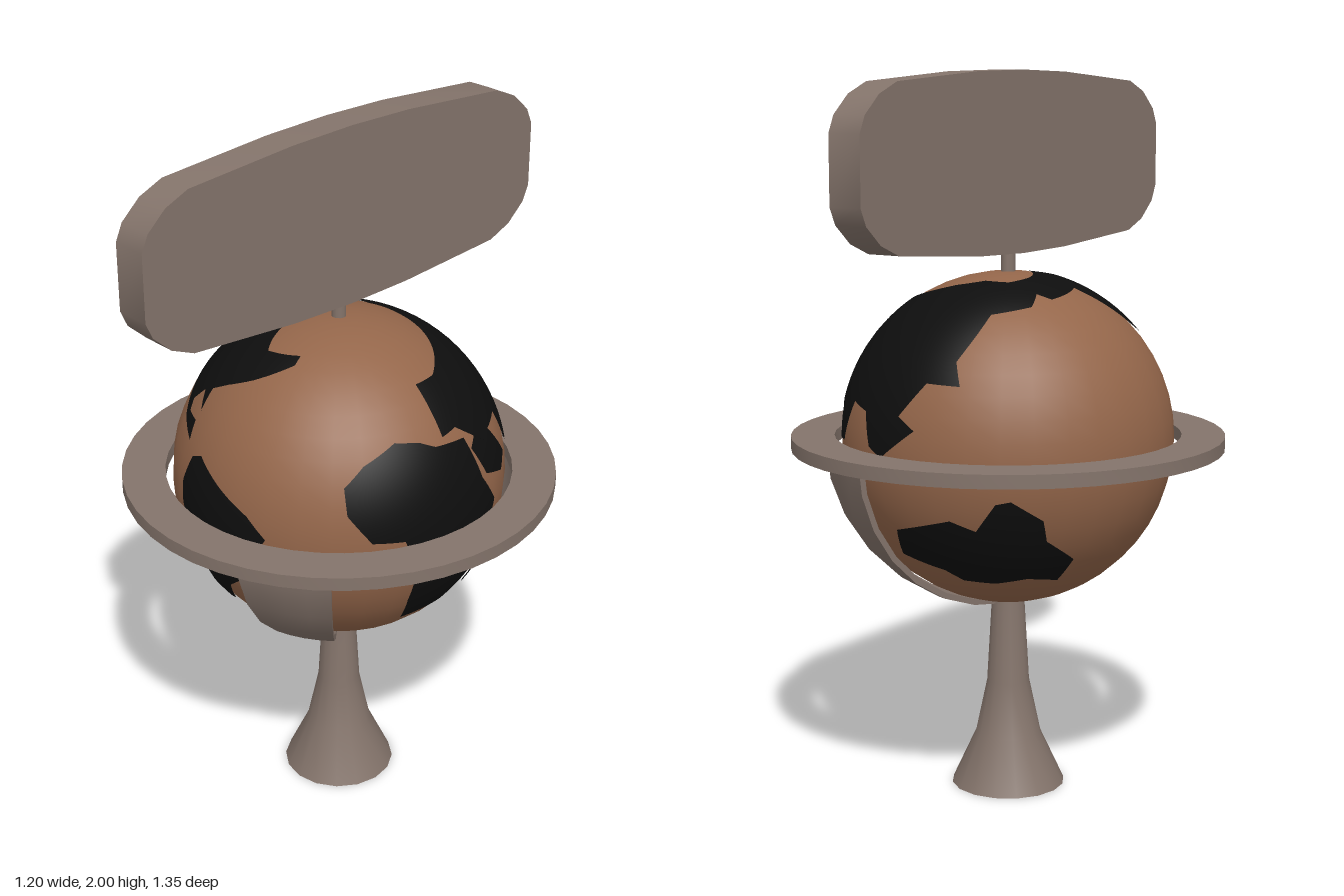
import * as THREE from 'three';
import { toCreasedNormals } from 'three/addons/utils/BufferGeometryUtils.js';

const RAD = Math.PI / 180;
const CENTRE = 1, RADIUS = 0.46;

// Point on a sphere; longitude 0 faces the front and grows towards +x
function onSphere(lon, lat, r, squash = 1) {
  const c = Math.cos(lat * RAD);
  return new THREE.Vector3(
    r * c * Math.sin(lon * RAD), r * Math.sin(lat * RAD) * squash, r * c * Math.cos(lon * RAD));
}

// Coastlines as [longitude, latitude] in degrees
const LANDS = {
  northAmerica: [
    [-114, 60], [-143, 72], [-113, 76], [-70, 83], [-31, 71], [-11, 62], [17, 65], [17, 61],
    [-2, 51], [-15, 45], [-23, 40.5], [-21, 32.4], [-28, 38], [-32.7, 32], [-29.6, 28.6],
    [-21.4, 28.6], [-19.4, 22], [-32.3, 26.4], [-42.5, 32.4], [-62, 43], [-79.5, 65]],
  southAmerica: [
    [-14, 18.6], [-9, 20.7], [3.4, 14.5], [16, 8.5], [23, 2], [17, -8], [13.8, -16.5], [3.6, -25],
    [0, -35], [-7.6, -39], [-9.4, -46], [-15.6, -44], [-14.5, -35], [-10.6, -29], [-9, -16.5],
    [-12.7, -10], [-17, 2], [-17.4, 8.5]],
  africa: [
    [50, 13], [49, 22], [56, 28.6], [69, 34.7], [79, 33], [85.5, 30], [100, 28.6], [104, 13],
    [111, 2], [107, -6], [103, -13], [102, -25], [93, -35], [74, -38], [73, -25], [74, -10],
    [69, 2], [58, 3]],
  madagascar: [[109, -19], [111, -23.5], [107, -34], [103, -29]],
  eurasia: [
    [90, 51], [104, 51], [131, 58.6], [163, 68], [190, 73], [217, 72], [240, 66], [230, 56.6],
    [207, 53], [202, 44], [196, 34], [199, 25.6], [186, 26], [177, 14.4], [184, 10.3], [170, 0],
    [164, 3], [160, 14], [150, 16], [144, 2], [139, 2], [136, 12], [131, 14.5], [128.6, 26],
    [117, 25], [125, 13], [119, 8.5], [107, 13], [102, 24], [106, 27], [98, 33], [90, 32]],
  australia: [
    [172, -25], [196, -18.6], [205, -22], [212, -12], [217, -11], [228, -18], [230, -26],
    [243, -35], [240, -46], [225, -44], [210, -47], [195, -46], [188, -41], [168, -36]],
};

// Triangulates a coastline, subdivides it and lays it on the globe
function landGeometry(coast, r, n = 14) {
  const flat = new THREE.ShapeGeometry(
    new THREE.Shape(coast.map(([lon, lat]) => new THREE.Vector2(lon, lat))));
  const p = flat.attributes.position, index = flat.index;
  const position = [], normal = [];
  for (let t = 0; t < index.count; t += 3) {
    const [a, b, c] = [0, 1, 2].map(k => new THREE.Vector3().fromBufferAttribute(p, index.getX(t + k)));
    const put = (i, j) => {
      const q = a.clone().multiplyScalar(1 - (i + j) / n).addScaledVector(b, i / n).addScaledVector(c, j / n);
      const v = onSphere(q.x, q.y, 1);
      normal.push(v.x, v.y, v.z);
      position.push(v.x * r, v.y * r, v.z * r);
    };
    for (let i = 0; i < n; i++) for (let j = 0; j < n - i; j++) {
      put(i, j); put(i + 1, j); put(i, j + 1);
      if (i + j < n - 1) { put(i + 1, j); put(i + 1, j + 1); put(i, j + 1); }
    }
  }
  const g = new THREE.BufferGeometry();
  g.setAttribute('position', new THREE.Float32BufferAttribute(position, 3));
  g.setAttribute('normal', new THREE.Float32BufferAttribute(normal, 3));
  return g;
}

// Box bent into a tapering strip that follows the underside of the globe
function cradleGeometry(lonMid) {
  const g = new THREE.BoxGeometry(1, 1, 1, 4, 7, 1), p = g.attributes.position;
  for (let i = 0; i < p.count; i++) {
    const v = onSphere(lonMid + p.getX(i) * 30, (p.getY(i) - 0.5) * 89, 0.4975 + p.getZ(i) * 0.017, 0.945);
    p.setXYZ(i, v.x, v.y, v.z);
  }
  g.computeVertexNormals();
  return g;
}

export function createModel() {
  const model = new THREE.Group();
  const wood = new THREE.MeshStandardMaterial({ color: 0x84746b });
  wood.name = 'greyBrownWood';
  wood.side = THREE.DoubleSide;
  const sea = new THREE.MeshStandardMaterial({ color: 0x94664a });
  sea.name = 'copperBrown';
  const black = new THREE.MeshStandardMaterial({ color: 0x0e0e0e });
  black.name = 'black';

  const add = (name, geometry, material, y = 0, parent = model) => {
    const mesh = new THREE.Mesh(geometry, material);
    mesh.name = name;
    mesh.position.y = y;
    parent.add(mesh);
    return mesh;
  };

  // Flared hollow pedestal
  const profile = [[0.16, 0], [0.093, 0.145], [0.06, 0.3], [0.045, 0.56]];
  add('pedestal', new THREE.LatheGeometry(profile.map(q => new THREE.Vector2(...q)), 16), wood);

  // Globe with land plates
  const globe = new THREE.Group();
  globe.name = 'globe';
  globe.position.y = CENTRE;
  model.add(globe);
  add('sea', new THREE.SphereGeometry(RADIUS, 32, 24), sea, 0, globe);
  for (const [name, coast] of Object.entries(LANDS))
    add(name, landGeometry(coast, RADIUS + 0.005), black, 0, globe);

  // Horizontal ring
  const ring = new THREE.Shape().absarc(0, 0, 0.6, 0, Math.PI * 2);
  ring.holes.push(new THREE.Path().absarc(0, 0, 0.48, 0, Math.PI * 2, true));
  const ringGeometry = new THREE.ExtrudeGeometry(ring, { depth: 0.037, bevelEnabled: false, curveSegments: 22 });
  ringGeometry.rotateX(-Math.PI / 2);
  add('horizonRing', toCreasedNormals(ringGeometry, 0.6), wood, 0.975);

  // Two cradle strips from the ring to the pedestal
  add('frontCradle', cradleGeometry(30), wood, CENTRE);
  add('backCradle', cradleGeometry(150), wood, CENTRE);

  // Pin and rounded sign board on top
  add('pin', new THREE.CylinderGeometry(0.02, 0.02, 0.08, 12), wood, 1.485);
  const quarter = [[0.675, 0.09], [0.655, 0.135], [0.6, 0.185], [0.53, 0.215], [0.2, 0.24]];
  const flip = (sx, sy) => quarter.map(([a, b]) => new THREE.Vector2(a * sx, b * sy));
  const outline = [
    ...flip(1, 1), new THREE.Vector2(0, 0.245), ...flip(-1, 1).reverse(),
    ...flip(-1, -1), new THREE.Vector2(0, -0.245), ...flip(1, -1).reverse()];
  const board = new THREE.ExtrudeGeometry(new THREE.Shape(outline), { depth: 0.1, bevelEnabled: false });
  board.translate(0, 0, -0.05);
  board.rotateY(Math.PI / 2);
  add('signBoard', toCreasedNormals(board, 0.8), wood, 1.755);

  return model;
}
